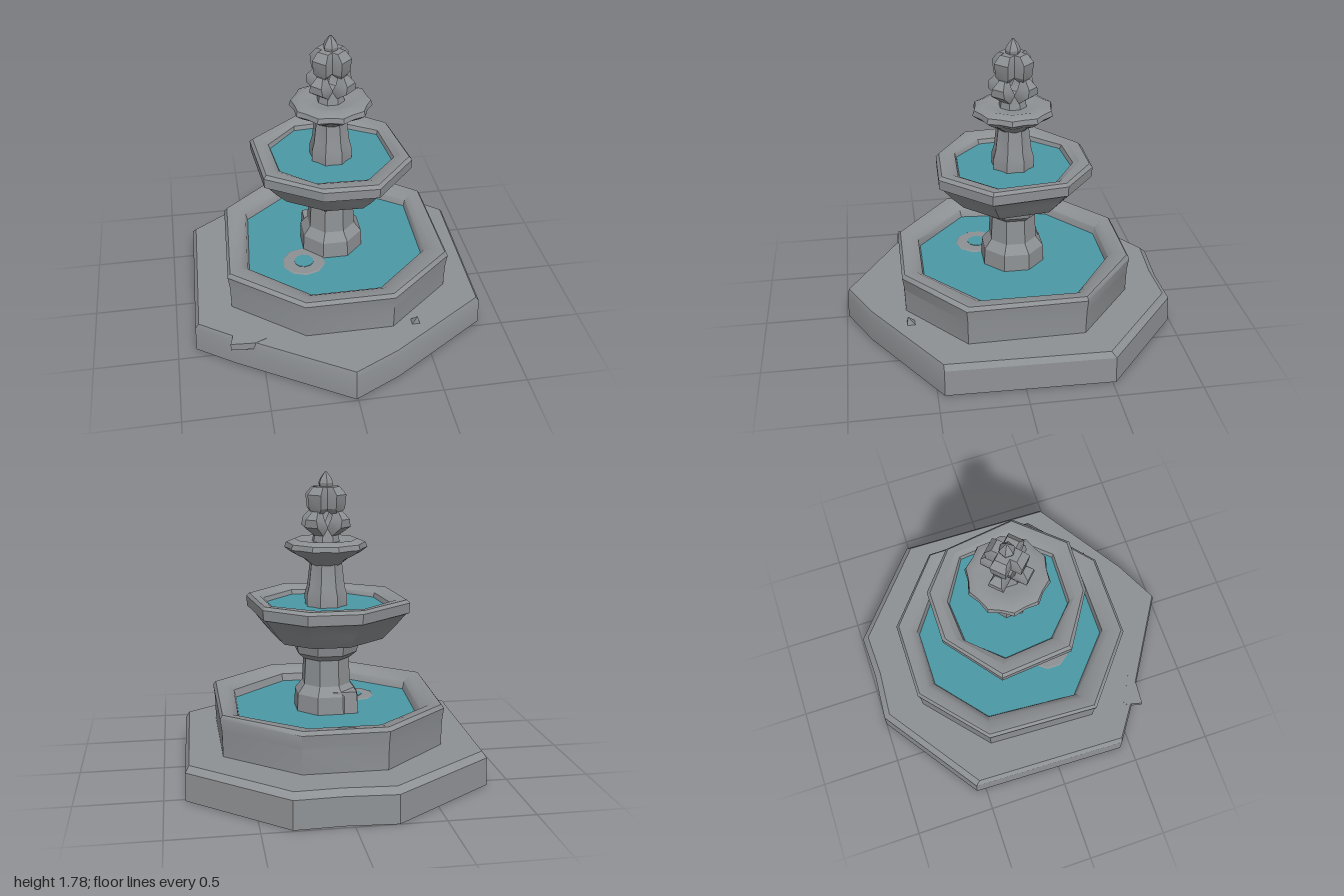
import * as THREE from 'three';
import { toCreasedNormals } from 'three/addons/utils/BufferGeometryUtils.js';

const CX = 0.01, CZ = -0.05; // axis of the stacked bowls

// regular outline, optionally alternating between two radii
function ngon(n, r, { r2 = r, rot = Math.PI / n, cx = CX, cz = CZ } = {}) {
  return Array.from({ length: n }, (_, i) => {
    const a = rot + i * 2 * Math.PI / n, q = i % 2 ? r2 : r;
    return [cx + q * Math.cos(a), cz + q * Math.sin(a)];
  });
}
const scaled = (o, s, cx = CX, cz = CZ) => o.map(([x, z]) => [cx + (x - cx) * s, cz + (z - cz) * s]);
const mix = (a, b, t) => a.map(([x, z], i) => [x + (b[i][0] - x) * t, z + (b[i][1] - z) * t]);

// skin through a list of [outline, y] cross-sections
function loft(name, material, layers, { crease = 0.5, bottom = true, top = true } = {}) {
  const n = layers[0][0].length, pos = [], idx = [];
  for (const [o, y] of layers) for (const [x, z] of o) pos.push(x, y, z);
  for (let k = 0; k < layers.length - 1; k++) {
    for (let i = 0; i < n; i++) {
      const j = (i + 1) % n, a = k * n, b = a + n;
      idx.push(a + i, b + i, b + j, a + i, b + j, a + j);
    }
  }
  const cap = (k, up) => {
    const [o, y] = layers[k], c = pos.length / 3;
    const sum = o.reduce((s, p) => [s[0] + p[0], s[1] + p[1]], [0, 0]);
    pos.push(sum[0] / n, y, sum[1] / n);
    for (let i = 0; i < n; i++) {
      const a = k * n + i, b = k * n + (i + 1) % n;
      idx.push(c, up ? b : a, up ? a : b);
    }
  };
  if (bottom) cap(0, false);
  if (top) cap(layers.length - 1, true);
  const g = new THREE.BufferGeometry();
  g.setAttribute('position', new THREE.Float32BufferAttribute(pos, 3));
  g.setIndex(idx);
  const mesh = new THREE.Mesh(toCreasedNormals(g, crease), material);
  mesh.name = name;
  return mesh;
}

export function createModel() {
  const stone = new THREE.MeshStandardMaterial({ color: 0x8e9194 });
  stone.name = 'stone';
  const water = new THREE.MeshStandardMaterial({ color: 0x4c98a6 });
  water.name = 'water';
  const model = new THREE.Group();
  model.name = 'fountain';
  const add = (name, mat, layers, opt) => model.add(loft(name, mat, layers, opt));

  // uneven seven-cornered plinth
  const base = [[-0.24, -1], [0.06, -0.98], [0.33, -0.99], [0.88, -0.52], [0.86, 0.46],
    [0.27, 0.85], [-0.01, 0.99], [-0.66, 0.59], [-0.89, 0.43], [-0.86, -0.56]];
  add('plinth', stone, [[base, 0.005], [scaled(base, 0.995, 0, 0.3), 0.17], [scaled(base, 0.97, 0, 0.5), 0.203]]);
  // broken ledge and shard on the plinth
  const ledge = [[-0.66, 0.52], [-0.48, 0.62], [-0.55, 0.65], [-0.69, 0.64]];
  add('brokenLedge', stone, [[ledge, 0.16], [ledge, 0.205]]);
  add('shard', stone, [[ngon(4, 0.04, { cx: 0.41, cz: 0.61 }), 0.19],
    [ngon(4, 0.004, { cx: 0.42, cz: 0.63 }), 0.25]]);

  // lower basin: wall, rounded rim and inner slope
  const lowOut = [[-0.24, -0.74], [0.25, -0.74], [0.67, -0.39], [0.68, 0.31],
    [0.28, 0.65], [-0.25, 0.65], [-0.67, 0.31], [-0.64, -0.39]];
  const lowIn = [[-0.18, -0.61], [0.17, -0.61], [0.55, -0.34], [0.54, 0.2],
    [0.21, 0.51], [-0.19, 0.51], [-0.53, 0.21], [-0.49, -0.35]];
  add('lowerBasin', stone, [[scaled(lowOut, 0.98), 0.19], [scaled(lowOut, 0.985), 0.35], [lowOut, 0.43],
    [mix(lowOut, lowIn, 0.12), 0.452], [mix(lowOut, lowIn, 0.6), 0.445],
    [mix(lowOut, lowIn, 0.9), 0.415], [lowIn, 0.36]], { bottom: false, top: false, crease: 0.7 });
  add('lowerWater', water, [[scaled(lowIn, 1.005), 0.355], [scaled(lowIn, 1.005), 0.37]], { bottom: false });

  // shallow hollow showing stone beside the column
  const hollow = (r) => ngon(10, r, { cx: -0.19, cz: 0.15 });
  add('hollow', stone, [[hollow(0.135), 0.369], [hollow(0.125), 0.375]], { bottom: false });
  add('hollowWater', water, [[hollow(0.06), 0.374], [hollow(0.06), 0.378]], { bottom: false });

  // lower column with flared foot
  add('lowerColumn', stone, [[ngon(8, 0.2), 0.36], [ngon(8, 0.195), 0.475], [ngon(8, 0.15), 0.53],
    [ngon(8, 0.14), 0.71]]);
  const block = ngon(4, 0.11, { cx: -0.08, cz: -0.15 });
  add('footBlock', stone, [[block, 0.36], [scaled(block, 0.9, -0.07, -0.13), 0.5]]);

  // collar beneath the upper bowl
  add('collar', stone, [[ngon(8, 0.15), 0.69], [ngon(8, 0.19), 0.725], [ngon(8, 0.205), 0.8]]);

  // upper bowl
  const upOut = [[-0.13, -0.5], [0.18, -0.5], [0.41, -0.31], [0.47, 0.13],
    [0.22, 0.41], [-0.1, 0.4], [-0.42, 0.2], [-0.46, -0.24]];
  const upIn = [[-0.17, -0.37], [0.08, -0.39], [0.33, -0.24], [0.36, 0.07],
    [0.17, 0.28], [-0.14, 0.27], [-0.31, 0.11], [-0.34, -0.18]];
  add('upperBowl', stone, [[scaled(upOut, 0.45), 0.785], [scaled(upOut, 0.68), 0.81],
    [scaled(upOut, 0.82), 0.885], [scaled(upOut, 0.95), 0.965], [scaled(upOut, 0.995), 0.975], [upOut, 1.035],
    [mix(upOut, upIn, 0.15), 1.053], [mix(upOut, upIn, 0.6), 1.05],
    [mix(upOut, upIn, 0.9), 1.03], [upIn, 0.995]], { top: false });
  add('upperWater', water, [[scaled(upIn, 1.005), 0.99], [scaled(upIn, 1.005), 1.004]], { bottom: false });

  // fluted upper column
  const flute = (r) => ngon(16, r, { r2: r * 0.88, rot: Math.PI / 8 });
  add('upperColumn', stone, [[flute(0.13), 0.99], [flute(0.13), 1.07], [flute(0.115), 1.12], [flute(0.098), 1.26]]);

  // scalloped small bowl
  const scallop = (r, d) => ngon(20, r, { r2: r * d });
  add('smallBowl', stone, [[scallop(0.085, 1), 1.245], [scallop(0.135, 0.95), 1.285],
    [scallop(0.205, 0.9), 1.32], [scallop(0.245, 0.91), 1.35], [scallop(0.235, 0.93), 1.38],
    [scallop(0.185, 0.95), 1.4], [scallop(0.12, 0.98), 1.385]], { crease: 0.7 });
  add('neck', stone, [[ngon(8, 0.085), 1.375], [ngon(8, 0.07), 1.46]]);

  // four flared leaves and the four buds resting on them
  for (let i = 0; i < 4; i++) {
    const a = Math.PI / 4 + i * Math.PI / 2;
    const at = (d, r) => ngon(4, r, { rot: a + Math.PI / 4, cx: CX + d * Math.cos(a), cz: CZ + d * Math.sin(a) });
    add('leaf' + (i + 1), stone, [[at(0.035, 0.045), 1.42], [at(0.095, 0.068), 1.475],
      [at(0.105, 0.055), 1.52], [at(0.085, 0.028), 1.565]]);
    add('bud' + (i + 1), stone, [[at(0.072, 0.025), 1.545], [at(0.062, 0.062), 1.58],
      [at(0.065, 0.068), 1.66], [at(0.04, 0.05), 1.705]]);
  }

  // pointed finial
  add('finial', stone, [[ngon(6, 0.03), 1.66], [ngon(6, 0.046), 1.725],
    [ngon(6, 0.036), 1.75], [ngon(6, 0.006), 1.79]]);
  return model;
}
